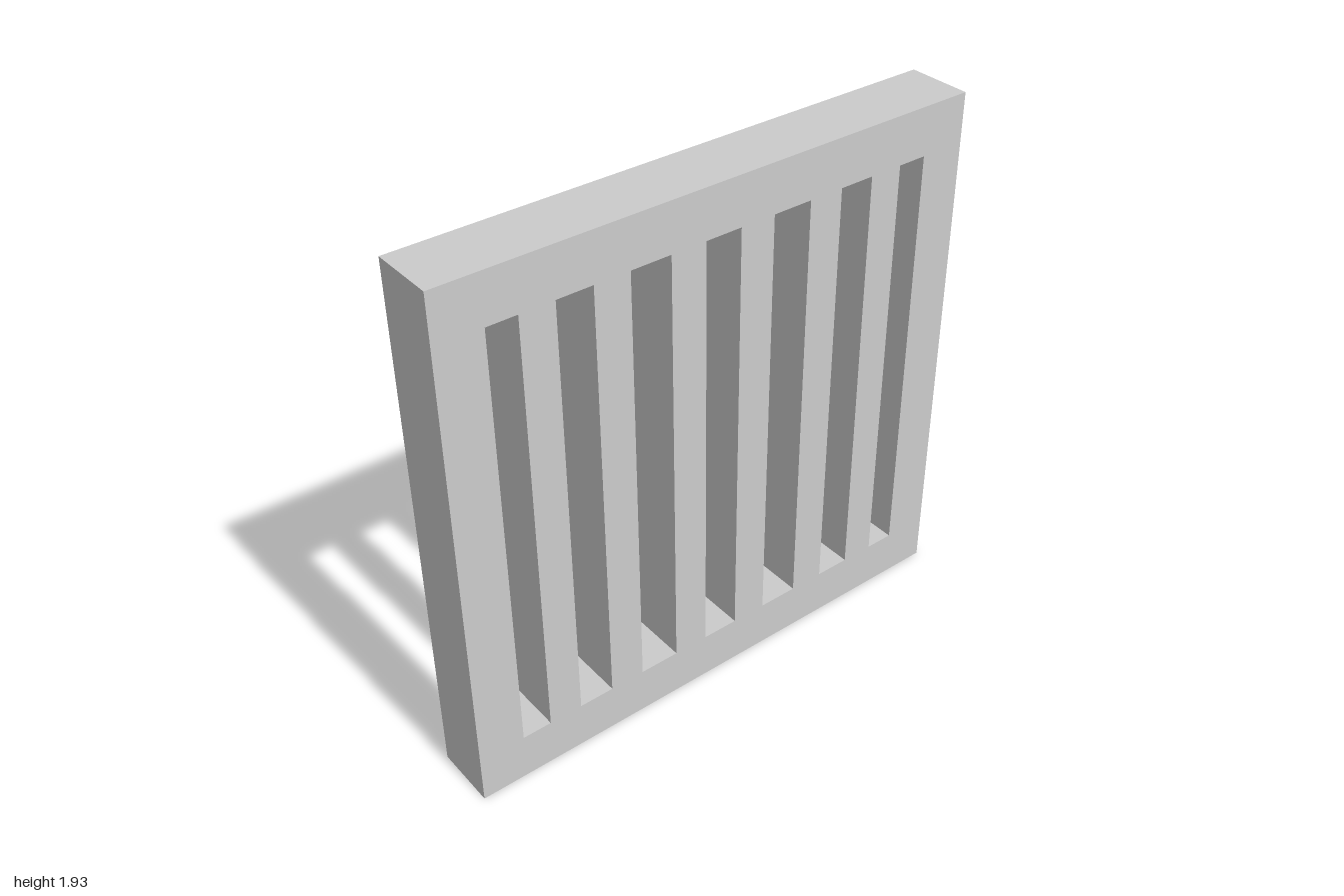
import * as THREE from 'three';

const HEIGHT = 1.935, DEPTH = 0.234;
const SLOT_BOTTOM = 0.175, SLOT_TOP = 1.76;

// Traces a rectangle on a Shape or Path
function rectangle(path, x0, y0, x1, y1) {
  path.moveTo(x0, y0);
  path.lineTo(x1, y0);
  path.lineTo(x1, y1);
  path.lineTo(x0, y1);
  path.closePath();
  return path;
}

export function createModel() {
  const group = new THREE.Group();
  group.name = 'slottedGrille';

  // Outer frame
  const outline = rectangle(new THREE.Shape(), -1, 0, 1, HEIGHT);
  const addSlot = (x0, x1) =>
    outline.holes.push(rectangle(new THREE.Path(), x0, SLOT_BOTTOM, x1, SLOT_TOP));

  // Centre slot, then three mirrored pairs narrowing outwards
  addSlot(-0.067, 0.067);
  for (const [inner, outer] of [[0.197, 0.344], [0.473, 0.602], [0.725, 0.832]]) {
    addSlot(inner, outer);
    addSlot(-outer, -inner);
  }

  const geometry = new THREE.ExtrudeGeometry(outline, { depth: DEPTH, bevelEnabled: false });
  geometry.translate(0, 0, -DEPTH / 2);

  const panel = new THREE.Mesh(
    geometry,
    new THREE.MeshStandardMaterial({ color: 0xcccccc, flatShading: true })
  );
  panel.name = 'slottedPanel';
  group.add(panel);
  return group;
}
